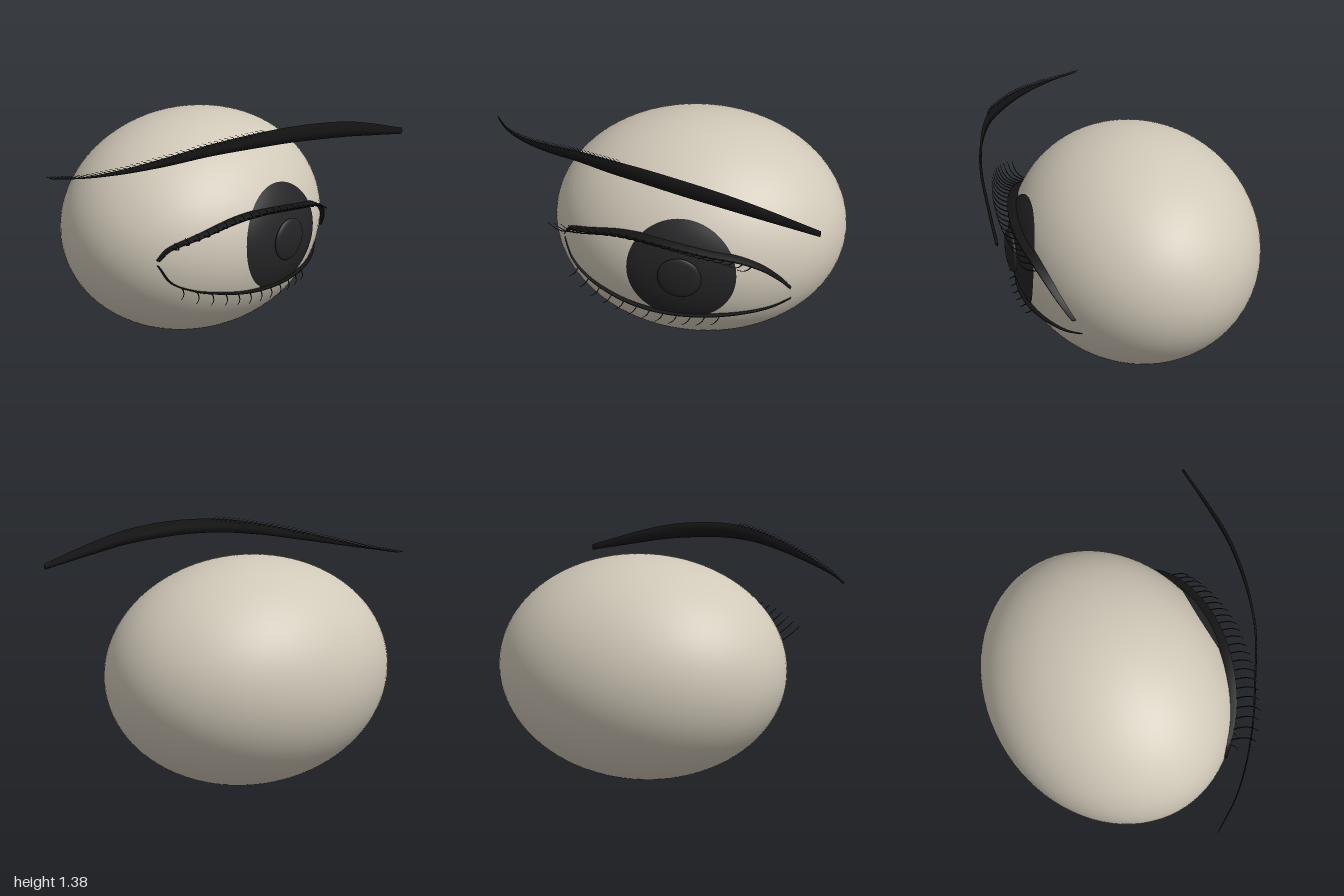
import * as THREE from 'three';
import { mergeGeometries } from 'three/addons/utils/BufferGeometryUtils.js';

const V = (x, y, z) => new THREE.Vector3(x, y, z);
const CENTER = V(0.16, 0.635, -0.12);
const RADII = V(0.835, 0.635, 0.69);

// Front surface depth of the eyeball at x, y
function surfaceZ(x, y) {
  const dx = (x - CENTER.x) / RADII.x, dy = (y - CENTER.y) / RADII.y;
  return CENTER.z + RADII.z * Math.sqrt(Math.max(0, 1 - dx * dx - dy * dy));
}

// Skin a list of equal-sized closed rings, with end caps
function loft(rings) {
  const n = rings[0].length, index = [];
  for (let i = 0; i < rings.length - 1; i++) {
    for (let j = 0; j < n; j++) {
      const a = i * n + j, b = i * n + (j + 1) % n;
      index.push(a, b, a + n, b, b + n, a + n);
    }
  }
  const last = (rings.length - 1) * n;
  for (let j = 1; j < n - 1; j++) index.push(0, j + 1, j, last, last + j, last + j + 1);
  const g = new THREE.BufferGeometry().setFromPoints(rings.flat());
  g.setIndex(index);
  g.computeVertexNormals();
  return g;
}

// Tapered, curved hair from root through a bend to the tip
function hair(root, bend, tip, radius) {
  const curve = new THREE.QuadraticBezierCurve3(root, bend, tip);
  const segs = 6, sides = 5;
  const g = new THREE.TubeGeometry(curve, segs, radius, sides, false);
  const p = g.attributes.position, v = V(0, 0, 0);
  for (let i = 0; i <= segs; i++) {
    const c = curve.getPointAt(i / segs);
    for (let j = 0; j <= sides; j++) {
      const k = i * (sides + 1) + j;
      v.fromBufferAttribute(p, k).lerp(c, 0.65 * i / segs);
      p.setXYZ(k, v.x, v.y, v.z);
    }
  }
  return g;
}

const spline = (pts) => new THREE.CatmullRomCurve3(pts.map(([x, y, z = 0]) => V(x, y, z)));

// Lid rim: a thin ledge that follows the eyeball and stands out from it
function lidRim(curve, height, depth) {
  const rings = [];
  for (let i = 0; i <= 60; i++) {
    const t = i / 60, s = Math.pow(Math.sin(Math.PI * (0.06 + 0.88 * t)), 0.7);
    const { x, y } = curve.getPointAt(t), z = surfaceZ(x, y);
    const h = height * s, d = 0.008 + depth * s;
    rings.push([V(x, y - h, z - 0.012), V(x, y - h * 0.6, z + d),
      V(x, y + h * 0.6, z + d), V(x, y + h, z - 0.012)]);
  }
  return loft(rings);
}

export function createModel() {
  const model = new THREE.Group();
  const material = (name, color, side = THREE.FrontSide) =>
    Object.assign(new THREE.MeshStandardMaterial({ color, side }), { name });
  const ivory = material('ivory', 0xd0c8b8);
  const charcoal = material('charcoal', 0x242426, THREE.DoubleSide);
  const black = material('black', 0x141414, THREE.DoubleSide);
  const add = (name, geometry, mat) => {
    const m = new THREE.Mesh(geometry, mat);
    m.name = name;
    model.add(m);
    return m;
  };

  // Eyeball
  const ball = add('eyeball', new THREE.SphereGeometry(1, 80, 56), ivory);
  ball.scale.copy(RADII);
  ball.position.copy(CENTER);

  // Iris: a disc draped over the eyeball
  const iris = new THREE.RingGeometry(0.001, 0.3, 64, 14);
  const ip = iris.attributes.position;
  for (let i = 0; i < ip.count; i++) {
    const r = Math.hypot(ip.getX(i), ip.getY(i)) / 0.3;
    const x = ip.getX(i) + 0.16, y = ip.getY(i) + 0.67;
    ip.setXYZ(i, x, y, surfaceZ(x, y) + 0.004 + 0.008 * (1 - r ** 6));
  }
  iris.computeVertexNormals();
  add('iris', iris, charcoal);

  // Pupil: a flattened dome
  const pupil = add('pupil', new THREE.SphereGeometry(0.12, 40, 24), charcoal);
  pupil.scale.z = 0.22;
  pupil.position.set(0.16, 0.67, 0.584);

  // Lid rims
  const upper = spline([[-0.55, 0.67], [-0.51, 0.73], [-0.36, 0.8], [-0.2, 0.848], [-0.05, 0.862],
    [0.12, 0.85], [0.3, 0.82], [0.48, 0.775], [0.6, 0.71], [0.69, 0.62], [0.74, 0.54]]);
  const lower = spline([[-0.55, 0.64], [-0.5, 0.54], [-0.4, 0.48], [-0.25, 0.44], [-0.1, 0.413],
    [0.1, 0.4], [0.3, 0.403], [0.5, 0.41], [0.65, 0.422], [0.74, 0.45]]);
  add('upperLidRim', lidRim(upper, 0.014, 0.045), black);
  add('lowerLidRim', lidRim(lower, 0.008, 0.02), black);

  // Upper lashes: forward, then curling up and outward, shorter toward the inner corner
  const upperLashes = [];
  for (let i = 0; i < 23; i++) {
    const f = i / 22, { x, y } = upper.getPointAt(0.06 + 0.74 * f);
    const z = surfaceZ(x, y) + 0.02;
    const rise = 0.088 - 0.065 * f * f, out = 0.1 - 0.03 * f;
    upperLashes.push(hair(V(x, y, z), V(x - out * 0.2, y + rise * 0.1, z + 0.1),
      V(x - out, y + rise, z + 0.1), 0.0045));
  }
  add('upperLashes', mergeGeometries(upperLashes), black);

  // Lower lashes
  const lowerLashes = [];
  for (let i = 0; i < 12; i++) {
    const { x, y } = lower.getPointAt(0.12 + 0.61 * i / 11);
    const z = surfaceZ(x, y) + 0.015;
    lowerLashes.push(hair(V(x, y, z), V(x - 0.005, y - 0.025, z + 0.035),
      V(x - 0.045, y - 0.045, z + 0.035), 0.004));
  }
  add('lowerLashes', mergeGeometries(lowerLashes), black);

  // Eyebrow: a thin tapering blade between its lower and upper edge
  const low = spline([[-0.99, 1.17, -0.07], [-0.9, 1.183, 0.07], [-0.77, 1.203, 0.21], [-0.6, 1.232, 0.35],
    [-0.4, 1.265, 0.48], [-0.2, 1.283, 0.6], [0, 1.283, 0.68], [0.2, 1.267, 0.735],
    [0.4, 1.242, 0.77], [0.6, 1.205, 0.785], [0.91, 1.145, 0.8]]);
  const high = spline([[-0.99, 1.174, -0.07], [-0.9, 1.192, 0.07], [-0.77, 1.23, 0.21], [-0.6, 1.28, 0.35],
    [-0.4, 1.33, 0.48], [-0.2, 1.363, 0.6], [0, 1.371, 0.68], [0.2, 1.358, 0.735],
    [0.4, 1.328, 0.77], [0.6, 1.277, 0.785], [0.91, 1.18, 0.8]]);
  const brow = [], browHairs = [];
  for (let i = 0; i <= 80; i++) {
    const t = i / 80, a = low.getPoint(t), b = high.getPoint(t), d = low.getTangent(t);
    const side = V(-d.z, 0, d.x).normalize().multiplyScalar(0.003 + 0.005 * t);
    const mid = a.clone().lerp(b, 0.45);
    brow.push([a, mid.clone().add(side), b, mid.clone().sub(side)]);
    // Fine hairs fringing the outer half
    if (t < 0.55) {
      const tip = b.clone().addScaledVector(d, -0.04).add(V(0, 0.012, 0));
      browHairs.push(hair(mid, b, tip, 0.003));
    }
  }
  add('eyebrow', loft(brow), black);
  add('eyebrowHairs', mergeGeometries(browHairs), black);

  return model;
}
